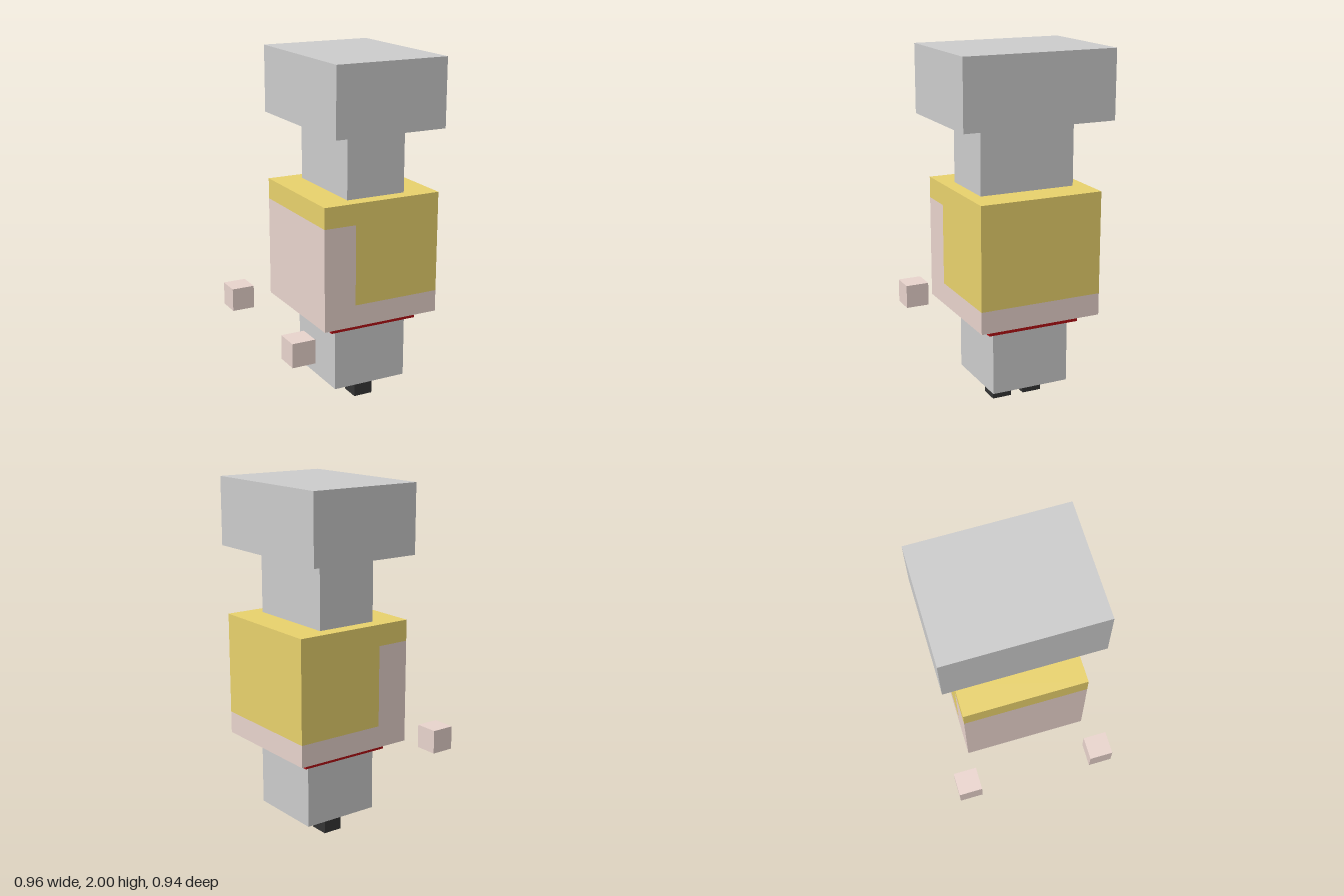
import * as THREE from 'three';

const material = (color) => new THREE.MeshStandardMaterial({ color, flatShading: true });
const GREY = material(0xcccccc);
const HAIR = material(0xe8d16c);
const SKIN = material(0xe8d3cc);
const RED = material(0xb00e13);
const BLACK = material(0x343434);

// Box given by its limits on each axis
function block(name, mat, [x0, x1], [y0, y1], [z0, z1]) {
  const geo = new THREE.BoxGeometry(x1 - x0, y1 - y0, z1 - z0);
  geo.translate((x0 + x1) / 2, (y0 + y1) / 2, (z0 + z1) / 2);
  const mesh = new THREE.Mesh(geo, mat);
  mesh.name = name;
  return mesh;
}

// One head cube whose surface is split into hair and skin along its grid lines
function createHead() {
  const xs = [-0.23, -0.04, 0.479];
  const ys = [0.535, 0.66, 1.12, 1.24];
  const zs = [-0.352, 0.357];
  const geo = new THREE.BoxGeometry(2, 3, 1, 2, 3, 1);
  const pos = geo.attributes.position;
  for (let i = 0; i < pos.count; i++) {
    pos.setXYZ(i,
      xs[Math.round(pos.getX(i) + 1)],
      ys[Math.round(pos.getY(i) + 1.5)],
      zs[Math.round(pos.getZ(i) + 0.5)]);
  }
  const index = Array.from(geo.index.array);
  const skin = [], hair = [];
  for (let i = 0; i < index.length; i += 3) {
    const tri = index.slice(i, i + 3);
    const x = tri.reduce((s, v) => s + pos.getX(v), 0) / 3;
    const y = tri.reduce((s, v) => s + pos.getY(v), 0) / 3;
    const isSkin = y < ys[1] || (y < ys[2] && x < xs[1]);
    (isSkin ? skin : hair).push(...tri);
  }
  const head = new THREE.Group();
  head.name = 'head';
  for (const [name, tris, mat] of [['face', skin, SKIN], ['hair', hair, HAIR]]) {
    const part = geo.clone();
    part.setIndex(tris);
    const mesh = new THREE.Mesh(part, mat);
    mesh.name = name;
    head.add(mesh);
  }
  return head;
}

export function createModel() {
  const model = new THREE.Group();
  model.name = 'blockFigure';

  // Feet
  model.add(block('leftFoot', BLACK, [0.068, 0.182], [0, 0.115], [0.041, 0.155]));
  model.add(block('rightFoot', BLACK, [0.068, 0.182], [0, 0.115], [-0.148, -0.034]));

  // Body and collar
  model.add(block('body', GREY, [-0.1, 0.35], [0.115, 0.48], [-0.225, 0.231]));
  model.add(block('collar', RED, [-0.144, 0.393], [0.48, 0.535], [-0.266, 0.273]));

  // Head
  model.add(createHead());

  // Tall hat, narrow below and wide on top
  model.add(block('hatBase', GREY, [-0.053, 0.302], [1.24, 1.615], [-0.274, 0.279]));
  model.add(block('hatTop', GREY, [-0.206, 0.457], [1.615, 2], [-0.438, 0.441]));

  // Floating hands, held at slightly different heights
  model.add(block('frontHand', SKIN, [-0.48, -0.346], [0.425, 0.562], [0.335, 0.472]));
  model.add(block('backHand', SKIN, [-0.481, -0.347], [0.465, 0.6], [-0.472, -0.336]));

  return model;
}
